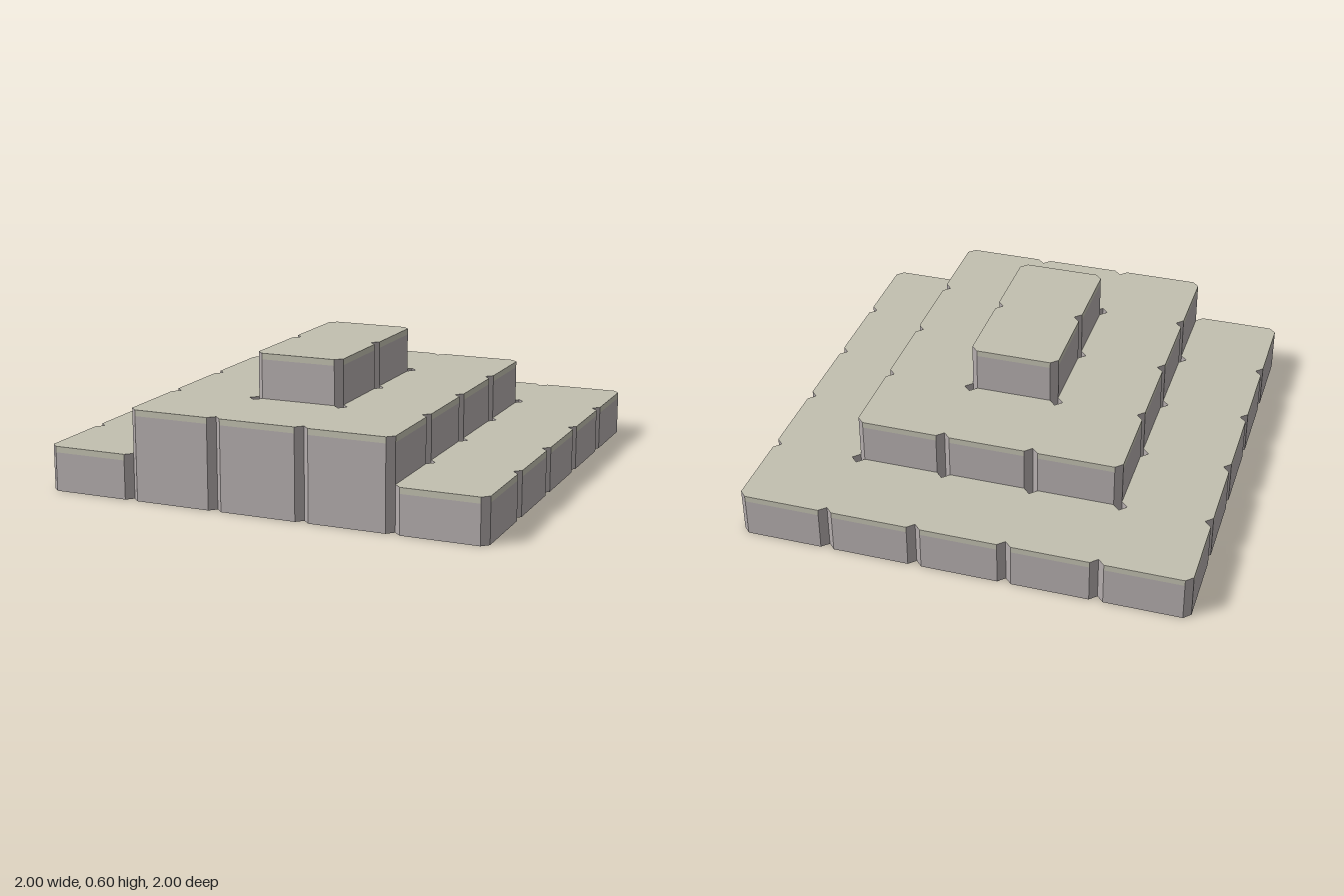
import * as THREE from 'three';
import { mergeGeometries } from 'three/addons/utils/BufferGeometryUtils.js';

const CELL = 0.4, CUT = 0.03, BAND = 0.027, N = 5;

// Column heights, rows from back (-z) to front (+z)
const HEIGHTS = [
  [0.2, 0.2, 0.2, 0.2, 0.2],
  [0.2, 0.4, 0.4, 0.4, 0.2],
  [0.2, 0.4, 0.6, 0.4, 0.2],
  [0.2, 0.4, 0.6, 0.4, 0.2],
  [0.2, 0.4, 0.4, 0.4, 0.2],
];
const heightAt = (col, row) => HEIGHTS[row]?.[col] ?? 0;

// Square outline with its four corners cut off
function octagon() {
  const a = CELL / 2, b = a - CUT;
  return new THREE.Shape([[a, -b], [a, b], [b, a], [-b, a], [-a, b], [-a, -b], [-b, -a], [b, -a]]
    .map(([x, y]) => new THREE.Vector2(x, y)));
}

// Upright rectangle facing outward at an angle around the column's axis
function wall(width, bottom, top, distance, angle) {
  return new THREE.PlaneGeometry(width, top - bottom)
    .translate(0, (top + bottom) / 2, distance)
    .rotateY(angle);
}

export function createModel() {
  const group = new THREE.Group();
  group.name = 'steppedPlatform';
  const capMaterial = new THREE.MeshStandardMaterial({ color: 0xc2c0b0 });
  capMaterial.name = 'pale sand';
  const stoneMaterial = new THREE.MeshStandardMaterial({ color: 0xb4adad });
  stoneMaterial.name = 'warm grey stone';

  const flat = CELL - 2 * CUT;
  const cornerWidth = CUT * Math.SQRT2;
  const cornerDistance = (CELL - CUT) / Math.SQRT2;
  const sides = [[0, 1], [1, 0], [0, -1], [-1, 0]]; // +z, +x, -z, -x

  for (let row = 0; row < N; row++) {
    for (let col = 0; col < N; col++) {
      const h = heightAt(col, row);
      // Top surface and underside
      const cap = [new THREE.ShapeGeometry(octagon()).rotateX(-Math.PI / 2).translate(0, h, 0)];
      const stone = [new THREE.ShapeGeometry(octagon()).rotateX(Math.PI / 2)];

      sides.forEach(([dx, dz], i) => {
        const angle = i * Math.PI / 2;
        // Exposed wall with a coloured rim along its top
        const base = heightAt(col + dx, row + dz);
        if (base < h) {
          stone.push(wall(flat, base, h - BAND, CELL / 2, angle));
          cap.push(wall(flat, h - BAND, h, CELL / 2, angle));
        }
        // Cut corner, full height
        stone.push(wall(cornerWidth, 0, h, cornerDistance, angle + Math.PI / 4));
      });

      const column = new THREE.Group();
      column.name = `column ${row + 1}-${col + 1}`;
      column.position.set((col - 2) * CELL, 0, (row - 2) * CELL);
      const capMesh = new THREE.Mesh(mergeGeometries(cap), capMaterial);
      capMesh.name = 'cap';
      const stoneMesh = new THREE.Mesh(mergeGeometries(stone), stoneMaterial);
      stoneMesh.name = 'walls';
      column.add(capMesh, stoneMesh);
      group.add(column);
    }
  }
  return group;
}
